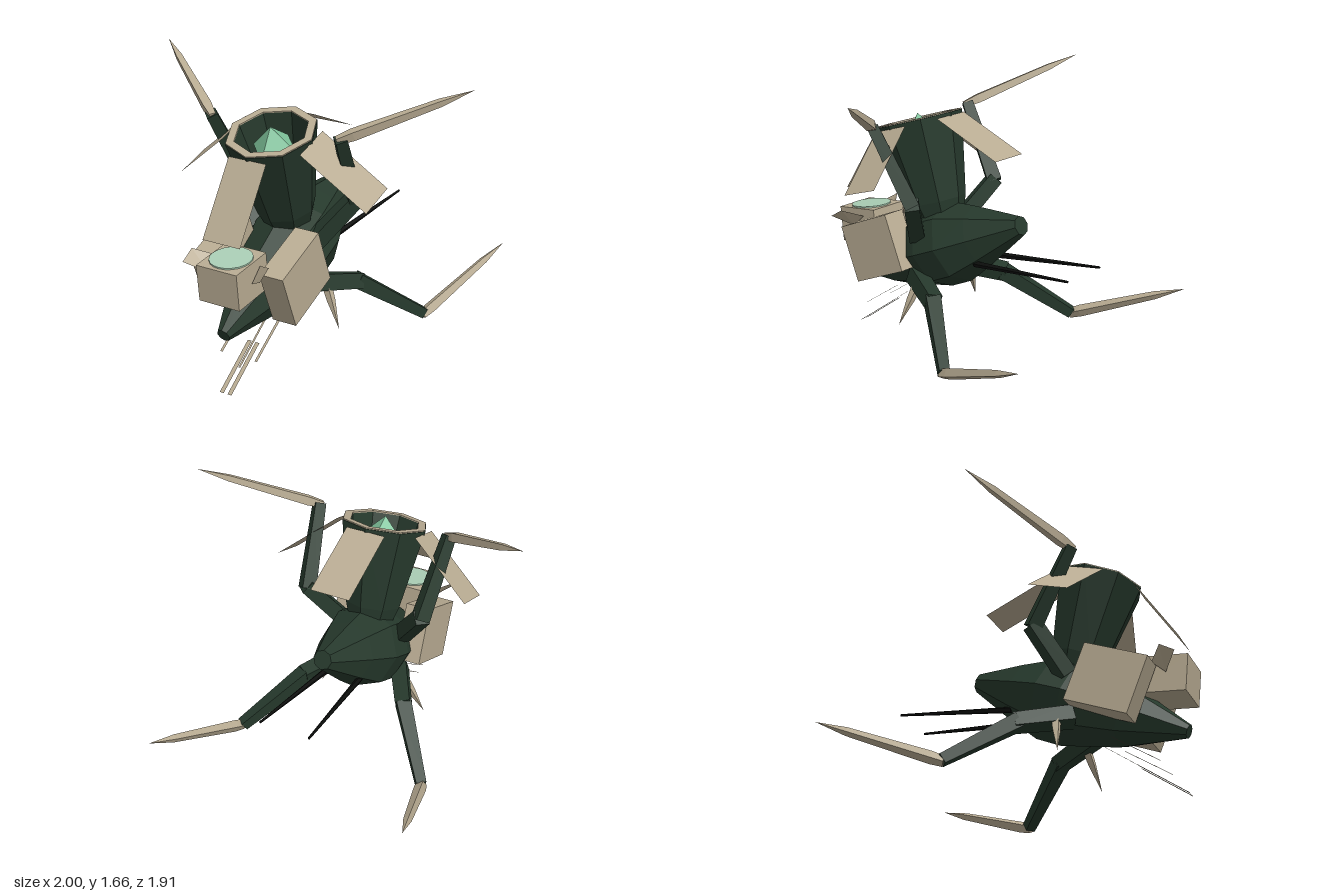
import * as THREE from 'three';

const mat = (name, color, double) => {
  const m = new THREE.MeshStandardMaterial({ color, flatShading: true });
  m.name = name;
  if (double) m.side = THREE.DoubleSide;
  return m;
};

export function createModel() {
  const green = mat('darkGreen', 0x26392c);
  const tan = mat('tan', 0xb9ac93, true);
  const mint = mat('mint', 0x80c49c);
  const pale = mat('paleMint', 0xabcfb6);
  const black = mat('black', 0x0c0e0c);

  const model = new THREE.Group();
  const V = (p) => new THREE.Vector3(...p);
  const add = (name, geo, material, parent = model) => {
    const mesh = new THREE.Mesh(geo, material);
    mesh.name = name;
    parent.add(mesh);
    return mesh;
  };

  // Faceted solid from a to b; profile holds [radius, fraction of length]
  const spindle = (name, a, b, profile, sides, material) => {
    const dir = V(b).sub(V(a));
    const len = dir.length();
    const pts = [[0, profile[0][1]], ...profile, [0, profile.at(-1)[1]]]
      .map(([r, t]) => new THREE.Vector2(r, t * len));
    const mesh = add(name, new THREE.LatheGeometry(pts, sides), material);
    mesh.position.set(...a);
    mesh.quaternion.setFromUnitVectors(new THREE.Vector3(0, 1, 0), dir.normalize());
    return mesh;
  };

  // Flat quad from four corners
  const quad = (name, corners, material, parent) => {
    const geo = new THREE.BufferGeometry();
    geo.setAttribute('position', new THREE.Float32BufferAttribute(corners.flat(), 3));
    geo.setIndex([0, 1, 2, 0, 2, 3]);
    geo.computeVertexNormals();
    return add(name, geo, material, parent);
  };
  const strip = (name, a, b, w, material, parent) => quad(name, [
    [a[0] - w / 2, a[1], a[2]], [b[0] - w / 2, b[1], b[2]],
    [b[0] + w / 2, b[1], b[2]], [a[0] + w / 2, a[1], a[2]],
  ], material, parent);

  // Body
  spindle('body', [0, 0.36, 0.905], [0, 0.87, -0.35],
    [[0.04, 0], [0.18, 0.27], [0.25, 0.52], [0.245, 0.64], [0.178, 0.78], [0.057, 1]], 8, green);

  // Hollow tower leaning forward
  const tower = new THREE.Group();
  tower.name = 'tower';
  tower.position.set(0, 0.906, 0.273);
  tower.rotation.x = 0.294;
  model.add(tower);
  const lathe = (pts, sides) =>
    new THREE.LatheGeometry(pts.map((p) => new THREE.Vector2(...p)), sides);
  add('towerShell', lathe([[0, -0.12], [0.13, -0.12], [0.17, 0], [0.26, 0.49],
    [0.21, 0.49], [0.15, 0.2], [0, 0.2]], 8), green, tower);
  add('rim', lathe([[0.257, 0.491], [0.257, 0.497], [0.21, 0.497], [0.21, 0.488]], 8), tan, tower);
  add('crystal', new THREE.OctahedronGeometry(0.14), mint, tower).position.y = 0.385;
  // Four drooping petals
  for (let i = 0; i < 4; i++) {
    strip('petal', [0, 0.472, 0.25], [0, 0.172, 0.607], 0.24, tan, tower).rotation.y = i * Math.PI / 2;
  }

  // Head
  const head = new THREE.Group();
  head.name = 'head';
  head.position.set(0, 0.672, 0.805);
  head.rotation.x = 0.1;
  model.add(head);
  add('headBox', new THREE.BoxGeometry(0.26, 0.216, 0.282), tan, head);
  add('headLens', new THREE.CylinderGeometry(0.12, 0.12, 0.009, 20), pale, head).position.y = 0.112;

  for (const s of [-1, 1]) {
    const m = ([x, y, z]) => [s * x, y, z];

    // Side box
    const box = add('sideBox', new THREE.BoxGeometry(0.15, 0.345, 0.388), tan);
    box.position.set(s * 0.227, 0.622, 0.535);
    box.rotation.x = 0.383;

    // Ear beside the head
    quad('ear', [[0.14, 0.67, 0.83], [0.25, 0.74, 0.915], [0.25, 0.79, 0.83], [0.14, 0.745, 0.75]].map(m), tan);

    // Raised arm with blade
    const elbow = [0.37, 0.975, 0.145], wrist = [0.418, 1.405, 0.39];
    spindle('upperArm', m([0.19, 0.73, 0.27]), m(elbow), [[0.065, 0], [0.06, 1.04]], 4, green);
    spindle('forearm', m(elbow), m(wrist), [[0.06, -0.02], [0.045, 1]], 4, green);
    spindle('armBlade', m([0.4, 1.395, 0.4]), m([1, 1.665, 0]),
      [[0.025, 0], [0.036, 0.12], [0.024, 0.75], [0, 1]], 4, tan);

    // Rear leg with blade
    const knee = [0.33, 0.425, 0.03], ankle = [0.6, 0.155, -0.285];
    spindle('thigh', m([0.17, 0.48, 0.3]), m(knee), [[0.07, 0], [0.062, 1.05]], 4, green);
    spindle('shin', m(knee), m(ankle), [[0.062, -0.02], [0.042, 1]], 4, green);
    spindle('legBlade', m([0.6, 0.145, -0.27]), m([0.8, 0.405, -0.955]),
      [[0.03, 0], [0.036, 0.1], [0.024, 0.75], [0, 1]], 4, tan);

    // Small spur under the side box
    spindle('spur', m([0.25, 0.43, 0.23]), m([0.352, 0.22, 0.275]), [[0.028, 0], [0.024, 0.3], [0, 1]], 4, tan);

    // Tail feeler
    spindle('feeler', m([0.105, 0.615, -0.1]), m([0.153, 0.675, -0.785]), [[0.019, 0], [0.007, 1]], 5, black);

    // Bristles under the chin
    strip('outerBristle', m([0.115, 0.35, 0.5]), m([0.115, 0.172, 0.77]), 0.016, tan);
    strip('innerBristle', m([0.026, 0.198, 0.62]), m([0.026, 0, 0.9]), 0.026, tan);
  }
  strip('middleBristle', [0, 0.345, 0.42], [0, 0.1, 0.765], 0.012, tan);

  return model;
}
